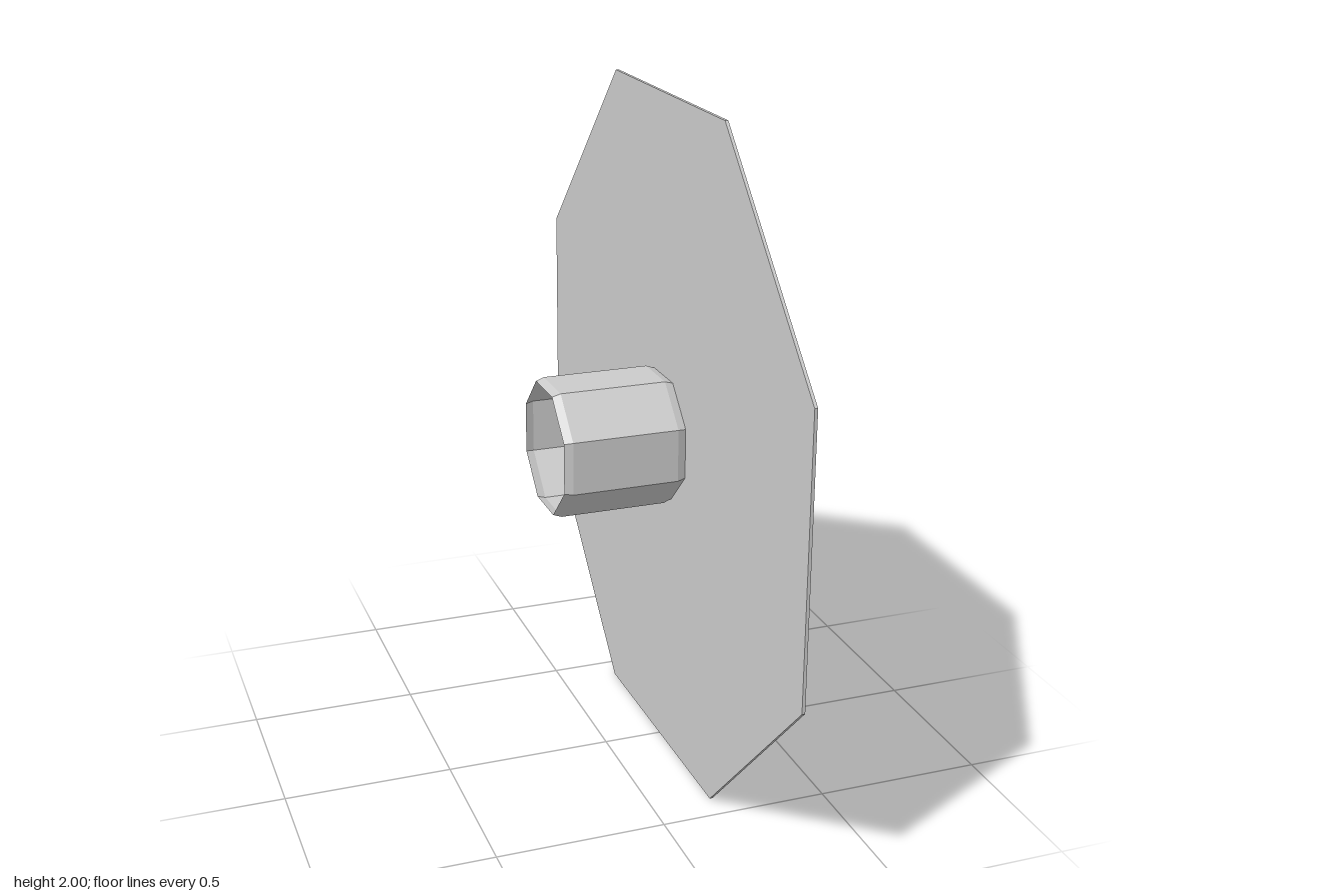
import * as THREE from 'three';

const SIDES = 8;

// Octagonal ring around the x axis; profile is [apothem, x] pairs
function octagonal(name, profile, side) {
  const k = 1 / Math.cos(Math.PI / SIDES);
  const points = profile.map(([a, x]) => new THREE.Vector2(a * k, x));
  const geometry = new THREE.LatheGeometry(points, SIDES, Math.PI / SIDES).toNonIndexed();
  geometry.rotateZ(-Math.PI / 2);
  geometry.computeVertexNormals();
  const material = new THREE.MeshStandardMaterial({ color: 0xcccccc, flatShading: true, side });
  const mesh = new THREE.Mesh(geometry, material);
  mesh.name = name;
  mesh.position.y = 1;
  return mesh;
}

export function createModel() {
  const model = new THREE.Group();
  model.name = 'flangedSleeve';

  // Thin octagonal plate with a central hole
  model.add(octagonal('plate', [
    [0.18, 0.177], [1, 0.177], [1, 0.186], [0.18, 0.186], [0.18, 0.177],
  ], THREE.FrontSide));

  // Hollow thin-walled sleeve, tapered slightly at both ends
  model.add(octagonal('sleeve', [
    [0.18, -0.188], [0.188, -0.163], [0.188, 0.152], [0.18, 0.177],
  ], THREE.DoubleSide));

  return model;
}
